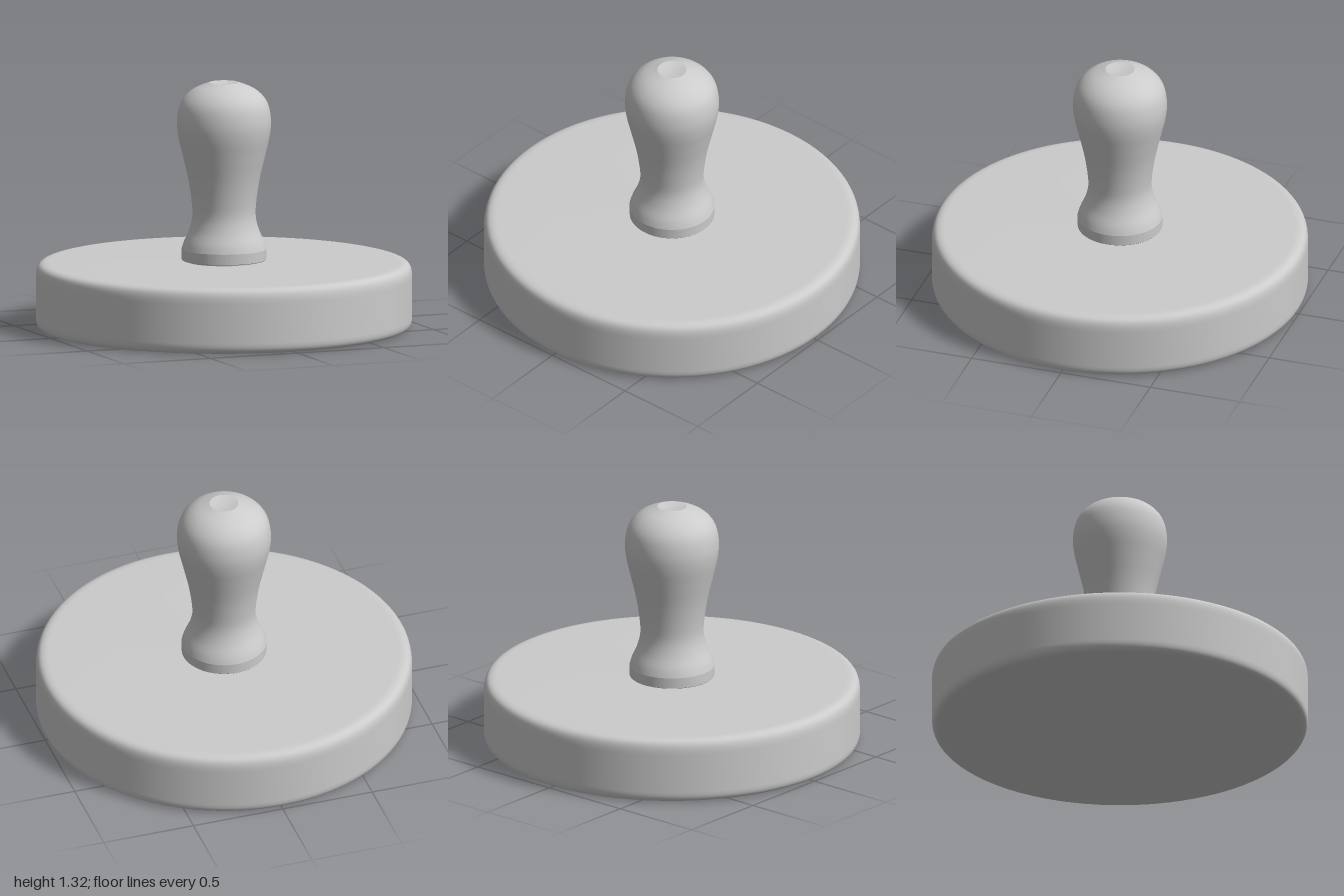
import * as THREE from 'three';

const vec = (pts) => pts.map(([x, y]) => new THREE.Vector2(x, y));

function lathe(name, points, material) {
  const mesh = new THREE.Mesh(new THREE.LatheGeometry(points, 96), material);
  mesh.name = name;
  return mesh;
}

export function createModel() {
  const group = new THREE.Group();
  group.name = 'handStamp';
  const material = new THREE.MeshStandardMaterial({ color: 0xcccccc });

  // Round base: flat underside, softened rims, very slightly domed top
  const disc = new THREE.Path();
  disc.moveTo(0, 0);
  disc.lineTo(0.94, 0);
  disc.bezierCurveTo(0.985, 0, 1, 0.015, 1, 0.06);
  disc.lineTo(1, 0.27);
  disc.bezierCurveTo(1, 0.335, 0.985, 0.352, 0.93, 0.353);
  disc.lineTo(0.6, 0.356);
  disc.lineTo(0, 0.36);
  group.add(lathe('base', disc.getPoints(10), material));

  // Short neck joining the handle to the base
  group.add(lathe('neck', vec([[0.2, 0.35], [0.2, 0.37]]), material));

  // Turned handle: flared foot, narrow waist, bulbous grip
  const foot = lathe('handleFoot', vec([[0, 0.366], [0.222, 0.366], [0.225, 0.369], [0.226, 0.425]]), material);
  foot.geometry = foot.geometry.toNonIndexed();
  foot.geometry.computeVertexNormals();
  const grip = new THREE.SplineCurve(vec([
    [0.226, 0.425], [0.213, 0.465], [0.185, 0.53], [0.169, 0.6], [0.172, 0.68],
    [0.19, 0.8], [0.22, 0.93], [0.243, 1.03], [0.25, 1.11], [0.238, 1.19],
    [0.207, 1.245], [0.155, 1.287], [0.078, 1.318],
  ]));
  group.add(foot, lathe('handleGrip', grip.getPoints(60), material));

  // Shallow dimple on the crown of the handle
  group.add(lathe('crownDimple', vec([[0.078, 1.318], [0.05, 1.313], [0.025, 1.31], [0, 1.309]]), material));

  return group;
}
